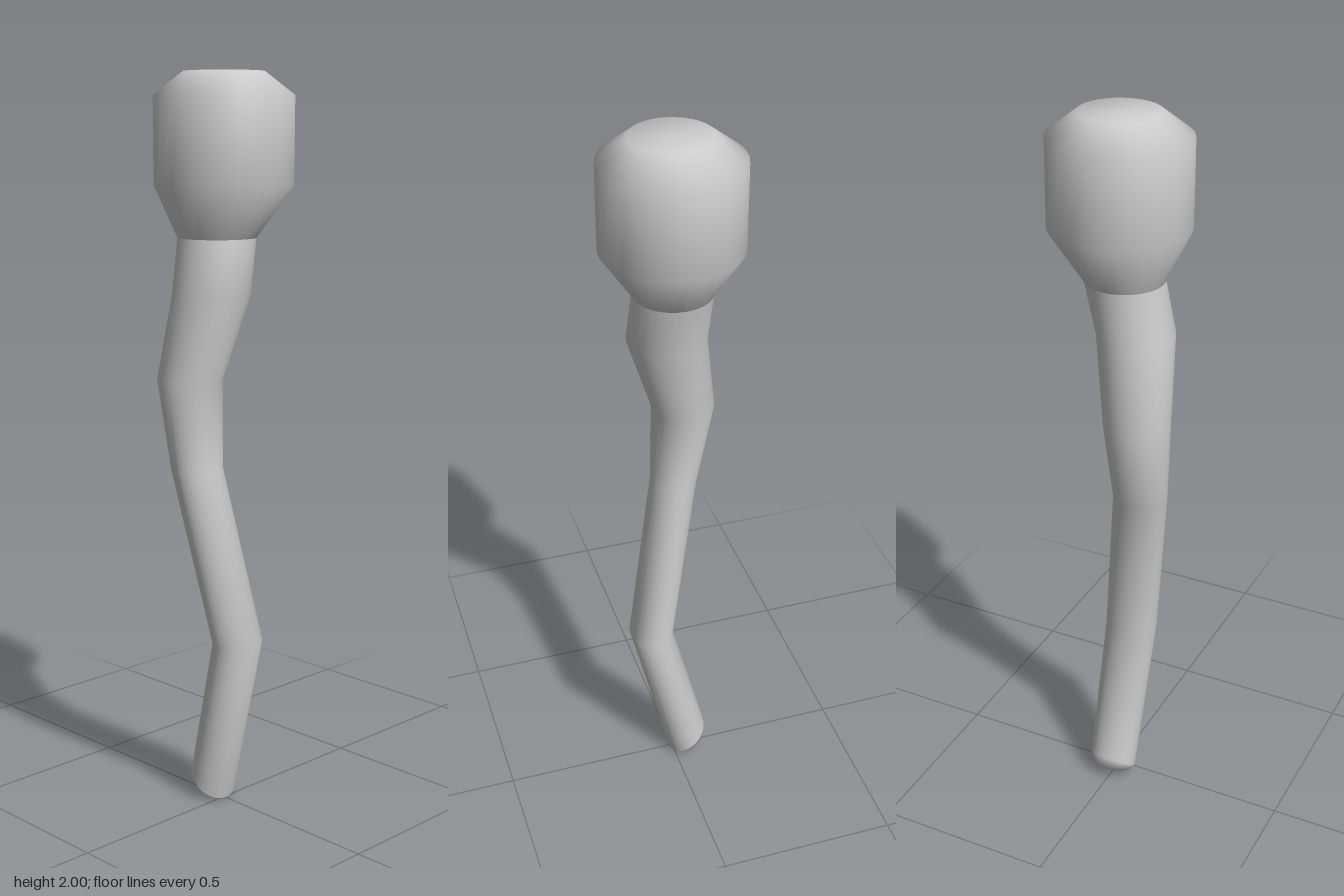
import * as THREE from 'three';
import { mergeVertices } from 'three/addons/utils/BufferGeometryUtils.js';

const SIDES = 32;

// Smooth skin over elliptical rings listed bottom to top:
// [centre x, centre y, centre z, radius x, radius z, rise towards the front]
function loft(rings) {
  const positions = [];
  const index = [];
  for (const [cx, cy, cz, rx, rz, rise = 0] of rings) {
    for (let j = 0; j < SIDES; j++) {
      const a = (j / SIDES) * Math.PI * 2;
      positions.push(cx + rx * Math.cos(a), cy + rise * Math.sin(a), cz + rz * Math.sin(a));
    }
  }
  for (let i = 0; i < rings.length - 1; i++) {
    for (let j = 0; j < SIDES; j++) {
      const k = (j + 1) % SIDES;
      const a = i * SIDES + j, b = i * SIDES + k;
      const c = a + SIDES, d = b + SIDES;
      index.push(a, c, b, b, c, d);
    }
  }
  let geometry = new THREE.BufferGeometry();
  geometry.setAttribute('position', new THREE.Float32BufferAttribute(positions, 3));
  geometry.setIndex(index);
  geometry = mergeVertices(geometry, 1e-5); // joins the poles
  geometry.computeVertexNormals();
  return geometry;
}

export function createModel() {
  const model = new THREE.Group();
  const grey = new THREE.MeshStandardMaterial({ color: 0xcccccc });
  grey.name = 'light grey';

  const add = (name, rings) => {
    const mesh = new THREE.Mesh(loft(rings), grey);
    mesh.name = name;
    model.add(mesh);
  };

  // Crooked stem with a rounded, slanted foot
  add('stem', [
    [0, 0.015, -0.042, 0, 0],
    [0, 0.024, -0.043, 0.054, 0.051, -0.022],
    [0, 0.046, -0.044, 0.067, 0.054, -0.041],
    [-0.008, 0.48, 0.061, 0.075, 0.061],
    [-0.074, 0.96, -0.027, 0.075, 0.063],
    [-0.075, 1.2, -0.053, 0.09, 0.085],
    [-0.046, 1.43, 0, 0.102, 0.106],
    [-0.018, 1.575, -0.008, 0.104, 0.104],
  ]);

  // Bulbous head with a flat crown
  add('head', [
    [-0.018, 1.575, -0.008, 0, 0],
    [-0.018, 1.575, -0.008, 0.104, 0.104],
    [0, 1.71, 0, 0.184, 0.184],
    [0, 1.94, 0, 0.184, 0.184],
    [0, 2, 0, 0.106, 0.106],
    [0, 2, 0, 0, 0],
  ].slice(1));

  return model;
}
